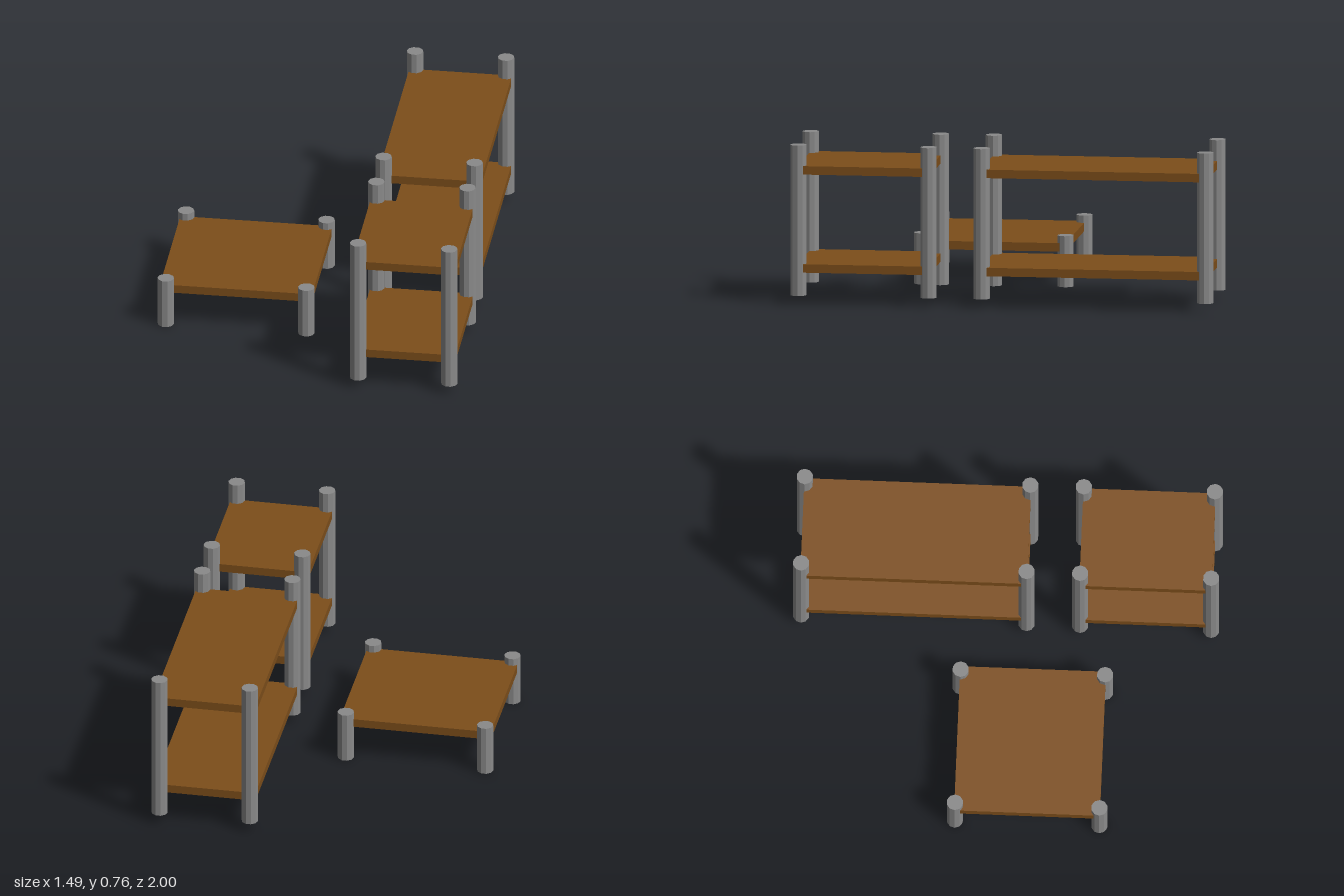
import * as THREE from 'three';

const wood = new THREE.MeshStandardMaterial({ color: 0x7d4e1a, flatShading: true });
const metal = new THREE.MeshStandardMaterial({ color: 0x8a8a8a, flatShading: true });

const LEG_RADIUS = 0.039;
const BOARD_THICKNESS = 0.04;

// One unit: four ten-sided posts at the corners, with boards at the given heights
function createUnit(name, { x, z, y, boards }) {
  const unit = new THREE.Group();
  unit.name = name;

  // Posts
  const legGeometry = new THREE.CylinderGeometry(LEG_RADIUS, LEG_RADIUS, y[1] - y[0], 10);
  legGeometry.rotateY(Math.PI / 2);
  for (const px of x) {
    for (const pz of z) {
      const leg = new THREE.Mesh(legGeometry, metal);
      leg.name = 'leg';
      leg.position.set(px, (y[0] + y[1]) / 2, pz);
      unit.add(leg);
    }
  }

  // Boards reach past the post centres, mostly sideways
  const boardGeometry = new THREE.BoxGeometry(
    x[1] - x[0] + 0.055, BOARD_THICKNESS, z[1] - z[0] + 0.006);
  for (const height of boards) {
    const board = new THREE.Mesh(boardGeometry, wood);
    board.name = 'board';
    board.position.set((x[0] + x[1]) / 2, height, (z[0] + z[1]) / 2);
    unit.add(board);
  }
  return unit;
}

export function createModel() {
  const model = new THREE.Group();
  model.name = 'furnitureSet';
  model.add(
    createUnit('lowTable', {
      x: [-0.706, -0.041], z: [-0.201, 0.477], y: [0, 0.242], boards: [0.187],
    }),
    createUnit('longShelf', {
      x: [0.271, 0.702], z: [-0.962, 0.096], y: [0.045, 0.758], boards: [0.175, 0.64],
    }),
    createUnit('shortShelf', {
      x: [0.272, 0.704], z: [0.347, 0.962], y: [0.045, 0.758], boards: [0.175, 0.64],
    }),
  );
  return model;
}
